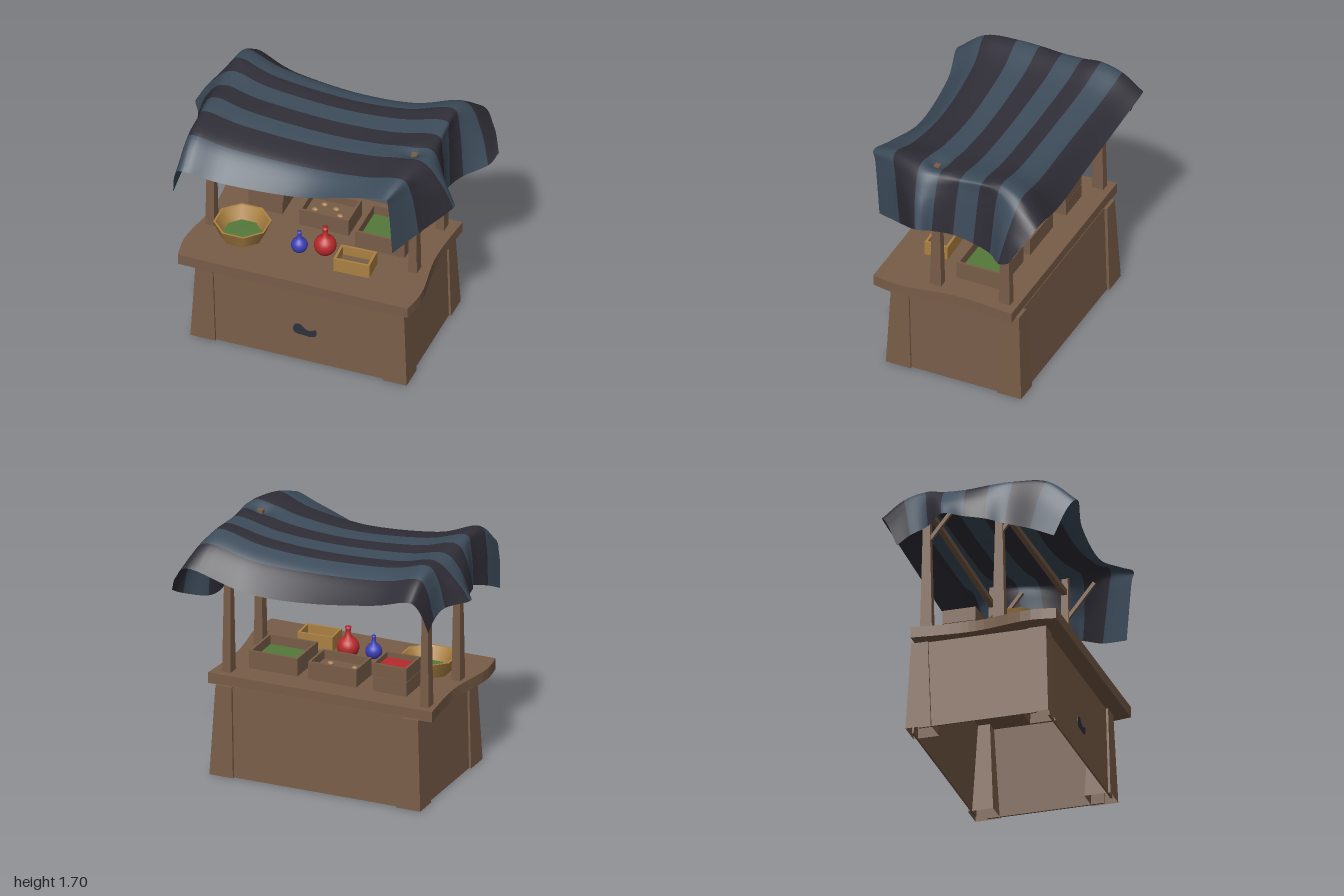
import * as THREE from 'three';

const mat = (name, color) => {
  const m = new THREE.MeshStandardMaterial({ color });
  m.name = name;
  return m;
};

export function createModel() {
  const root = new THREE.Group();
  root.name = 'marketStall';
  const wood = mat('wood', 0x785d48);
  const gold = mat('paleWood', 0xab8142);
  const red = mat('red', 0xb8292c);
  const blue = mat('blue', 0x3c3eb4);
  const green = mat('green', 0x557a3c);
  const tan = mat('tan', 0xa57c50);
  const stain = mat('stain', 0x2f313c);
  const clothDark = mat('darkCloth', 0x302e37);
  const clothBlue = mat('blueCloth', 0x3e4d5c);
  wood.side = clothDark.side = clothBlue.side = THREE.DoubleSide;

  const add = (name, geo, material, parent = root) => {
    const m = new THREE.Mesh(geo, material);
    m.name = name;
    parent.add(m);
    return m;
  };

  // Box whose bottom and top rectangles [x0, x1, z0, z1] differ; it can be open below
  const taper = (name, b, t, y0, y1, open = false) => {
    let g = new THREE.BoxGeometry(1, 1, 1);
    if (open) g.setIndex([...g.index.array].filter((_, i) => i < 18 || i >= 24));
    g = g.toNonIndexed();
    const p = g.attributes.position;
    for (let i = 0; i < p.count; i++) {
      const top = p.getY(i) > 0, r = top ? t : b;
      p.setXYZ(i, p.getX(i) < 0 ? r[0] : r[1], top ? y1 : y0, p.getZ(i) < 0 ? r[2] : r[3]);
    }
    g.computeVertexNormals();
    return add(name, g, wood);
  };

  // Square bar between two points
  const bar = (name, a, b, size) => {
    const A = new THREE.Vector3(...a), B = new THREE.Vector3(...b);
    const m = add(name, new THREE.BoxGeometry(size, size, A.distanceTo(B)), wood);
    m.position.copy(A).lerp(B, 0.5);
    m.lookAt(B);
  };

  // Hollow tapered legs at the four corners
  for (const [xb, xt] of [[[-0.785, -0.61], [-0.755, -0.64]], [[0.57, 0.74], [0.595, 0.71]]])
    for (const [zb, zt] of [[[0.30, 0.48], [0.33, 0.455]], [[-0.505, -0.33], [-0.475, -0.36]]])
      taper('leg', [...xb, ...zb], [...xt, ...zt], 0, 0.63, true);

  // Leaning wall panels between the legs
  taper('frontPanel', [-0.7, 0.66, 0.452, 0.464], [-0.7, 0.66, 0.428, 0.44], 0, 0.63);
  taper('backPanel', [-0.7, 0.66, -0.487, -0.475], [-0.7, 0.66, -0.454, -0.442], 0, 0.63);
  taper('rightPanel', [0.712, 0.724, -0.42, 0.39], [0.684, 0.696, -0.42, 0.39], 0, 0.63);
  taper('leftPanel', [-0.769, -0.757, -0.42, 0.39], [-0.741, -0.729, -0.42, 0.39], 0, 0.63);

  // Stain on the front panel
  const blob = new THREE.Shape();
  blob.setFromPoints(new THREE.CatmullRomCurve3([
    [-0.07, 0.24], [-0.055, 0.275], [-0.02, 0.28], [0.015, 0.25], [0.05, 0.243], [0.09, 0.258],
    [0.092, 0.215], [0.05, 0.198], [0, 0.202], [-0.055, 0.208],
  ].map(([x, y]) => new THREE.Vector3(x, y - 0.24, 0)), true).getPoints(40).map(v => new THREE.Vector2(v.x, v.y)));
  const stainMesh = add('stain', new THREE.ExtrudeGeometry(blob, { depth: 0.006, bevelEnabled: false }), stain);
  stainMesh.position.set(0, 0.24, 0.4525);
  stainMesh.rotation.x = -0.038;

  // Counter slab with wavy ends
  const side = pts => new THREE.SplineCurve(pts.map(([x, z]) => new THREE.Vector2(x, -z))).getPoints(14);
  const slab = new THREE.Shape([
    ...side([[0.775, 0.555], [0.8, 0.35], [0.755, 0.05], [0.75, -0.15], [0.775, -0.45]]),
    ...side([[-0.845, -0.45], [-0.815, -0.15], [-0.82, 0.05], [-0.87, 0.35], [-0.845, 0.555]]),
  ]);
  const counter = add('counter', new THREE.ExtrudeGeometry(slab, { depth: 0.075, bevelEnabled: false }), wood);
  counter.rotation.x = -Math.PI / 2;
  counter.position.y = 0.625;

  // Posts with forward-leaning braces, and the two long beams
  const square = (x, z, w, d) => [x - w, x + w, z - d, z + d];
  for (const [x, z, top] of [[-0.765, 0.14, 1.64], [-0.765, -0.36, 1.64], [0.665, 0.14, 1.657], [0.665, -0.36, 1.64]]) {
    taper('post', square(x, z, 0.031, 0.041), square(x, z, 0.02, 0.02), 0.7, top);
    bar('brace', [x, 1.33, z], [x, 1.58, z + 0.2], 0.024);
  }
  bar('frontBeam', [-0.78, 1.53, 0.14], [0.68, 1.53, 0.14], 0.036);
  bar('backBeam', [-0.78, 1.58, -0.36], [0.68, 1.51, -0.36], 0.036);

  // Canopy rows from back to front: mid z, left edge, five heights, right fold x, right edge
  const rows = [
    [-0.61, [-0.86, 1.30, -0.54], [1.55, 1.47, 1.39, 1.395, 1.52], 0.80, [1.0, 1.28, -0.53]],
    [-0.47, [-0.86, 1.36, -0.45], [1.66, 1.59, 1.55, 1.565, 1.65], 0.76, [0.96, 1.23, -0.44]],
    [-0.33, [-0.88, 1.40, -0.32], [1.70, 1.63, 1.595, 1.62, 1.70], 0.73, [0.83, 1.19, -0.32]],
    [-0.21, [-1.0, 1.42, -0.19], [1.685, 1.63, 1.60, 1.625, 1.69], 0.73, [0.79, 1.20, -0.18]],
    [-0.07, [-0.94, 1.41, -0.06], [1.68, 1.63, 1.60, 1.62, 1.68], 0.73, [0.81, 1.24, -0.04]],
    [0.07, [-0.90, 1.39, 0.08], [1.69, 1.63, 1.595, 1.62, 1.685], 0.73, [0.88, 1.28, 0.08]],
    [0.21, [-0.85, 1.36, 0.20], [1.69, 1.625, 1.59, 1.625, 1.69], 0.73, [0.95, 1.31, 0.17]],
    [0.41, [-0.87, 1.29, 0.38], [1.66, 1.585, 1.555, 1.60, 1.67], 0.68, [0.78, 1.19, 0.36]],
    [0.58, [-0.88, 1.21, 0.55], [1.50, 1.43, 1.43, 1.55, 1.61], 0.63, [0.67, 1.135, 0.56]],
  ];
  const spline = pts => new THREE.CatmullRomCurve3(pts, false, 'catmullrom', 0.5);
  const NU = 48, SUB = 6, NV = 8 * SUB;
  const across = rows.map(([z, l, h, xr, r]) => {
    const mid = [-0.76, -0.5, 0, 0.42, xr].map((x, i) =>
      new THREE.Vector3(x, h[i], z * (1 + (x < 0 && z > 0 ? 0.17 : 0.1) * (x / 0.76) ** 2)));
    const L = new THREE.Vector3(...l), R = new THREE.Vector3(...r);
    // wide overhangs fall straight, narrow ones roll over the fold
    const shoulder = (a, e) => new THREE.Vector3(
      a.x + (e.x - a.x) * 0.65,
      a.y + (e.y - a.y) * (0.12 + 1.5 * Math.abs(e.x - a.x)),
      a.z + (e.z - a.z) * 0.4);
    return spline([L, shoulder(mid[0], L), ...mid, shoulder(mid[4], R), R]).getPoints(NU);
  });
  const pos = [], idx = [];
  const along = across[0].map((_, j) => spline(across.map(r => r[j])).getPoints(NV));
  for (let i = 0; i <= NV; i++) for (let j = 0; j <= NU; j++) {
    const p = along[j][i];
    // dent where the front right post pierces the cloth
    const dent = 0.055 * Math.exp(-((p.x - 0.655) ** 2 + (p.z - 0.14) ** 2) / 0.005);
    pos.push(p.x, p.y - dent, p.z);
  }
  for (let i = 0; i < NV; i++) for (let j = 0; j < NU; j++) {
    const a = i * (NU + 1) + j, d = a + NU + 1;
    idx.push(a, d, a + 1, a + 1, d, d + 1);
  }
  const cloth = new THREE.BufferGeometry();
  cloth.setAttribute('position', new THREE.Float32BufferAttribute(pos, 3));
  cloth.setIndex(idx);
  cloth.computeVertexNormals();
  for (let k = 0; k < 8; k++) cloth.addGroup(k * SUB * NU * 6, SUB * NU * 6, k % 2);
  add('canopy', cloth, [clothDark, clothBlue]);

  // Open crates with a fill layer
  const crate = (name, x, y, z, w, h, d, material, fill, level, turn = 0) => {
    const g = new THREE.Group();
    g.name = name;
    g.position.set(x, y, z);
    g.rotation.y = turn;
    root.add(g);
    const t = 0.016;
    const box = (n, sx, sy, sz, px, py, pz, m) =>
      add(n, new THREE.BoxGeometry(sx, sy, sz), m, g).position.set(px, py, pz);
    for (const s of [-1, 1]) {
      box('crateSide', t, h, d, s * (w - t) / 2, h / 2, 0, material);
      box('crateEnd', w - 2 * t, h, t, 0, h / 2, s * (d - t) / 2, material);
    }
    box('crateContents', w - 2 * t, h * level, d - 2 * t, 0, h * level / 2 + 0.002, 0, fill);
    return g;
  };
  crate('greenCrate', 0.385, 0.7, -0.11, 0.35, 0.125, 0.32, wood, green, 0.45);
  const middle = crate('rootCrate', -0.045, 0.7, -0.16, 0.35, 0.125, 0.24, wood, wood, 0.5);
  crate('lowerCrate', -0.475, 0.712, -0.197, 0.24, 0.1, 0.225, wood, wood, 0.4);
  crate('redCrate', -0.47, 0.815, -0.195, 0.25, 0.095, 0.23, wood, red, 0.6);
  crate('smallTray', 0.297, 0.708, 0.27, 0.25, 0.1, 0.165, gold, wood, 0.3, 0.04);

  // Root vegetables in the middle crate
  for (const [x, z] of [[-0.1, 0.02], [-0.06, -0.05], [0.03, -0.03], [0.08, 0.03]]) {
    const m = add('rootVegetable', new THREE.SphereGeometry(0.02, 10, 8), tan, middle);
    m.position.set(x, 0.072, z);
    m.scale.set(1.2, 0.8, 0.9);
  }

  // Turned shapes standing on the counter
  const lathe = (name, pts, n, material, x, z) => {
    const g = new THREE.LatheGeometry(pts.map(p => new THREE.Vector2(...p)), n, Math.PI / 8);
    add(name, g, material).position.set(x, 0.7, z);
  };
  // Eight-sided bowl with greens: each band keeps a sharp edge
  const bowl = [[0, 0], [0.15, 0], [0.193, 0.108], [0.178, 0.108], [0.125, 0.015], [0, 0.015]];
  for (let i = 0; i < 5; i++) lathe('bowl', bowl.slice(i, i + 2), 8, gold, -0.53, 0.19);
  lathe('bowlGreens', [[0.128, 0.022], [0, 0.026]], 8, green, -0.53, 0.19);

  // Round vases with a narrow neck
  const vase = (name, r, h, material, x, z) => {
    const pts = [[0, 0], [r * 0.5, 0.003]];
    for (let a = -50; a <= 60; a += 10) {
      const t = a * Math.PI / 180;
      pts.push([r * Math.cos(t), r * 0.9 + r * Math.sin(t)]);
    }
    pts.push([r * 0.3, r * 1.95], [r * 0.22, h * 0.85], [r * 0.24, h * 0.92], [r * 0.28, h], [0, h]);
    lathe(name, pts, 20, material, x, z);
  };
  vase('blueVase', 0.056, 0.16, blue, -0.115, 0.225);
  vase('redVase', 0.075, 0.21, red, 0.052, 0.185);

  return root;
}
